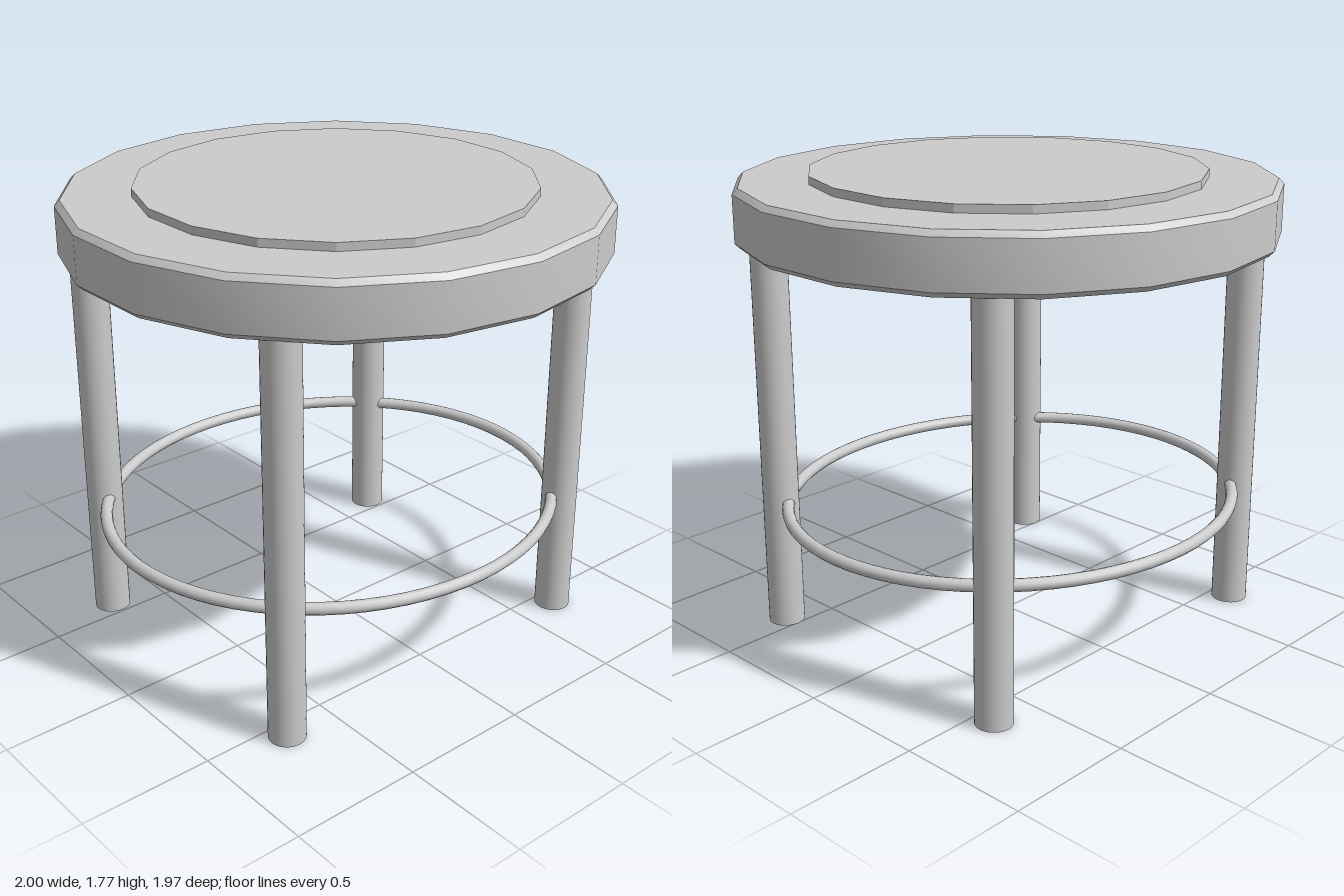
import * as THREE from 'three';
import { toCreasedNormals } from 'three/addons/utils/BufferGeometryUtils.js';

const SIDES = 18;

export function createModel() {
  const group = new THREE.Group();
  group.name = 'stool';
  const grey = new THREE.MeshStandardMaterial({ color: 0xcccccc });
  const flatGrey = new THREE.MeshStandardMaterial({ color: 0xcccccc, flatShading: true });

  const add = (name, geometry, material, x, y, z) => {
    const mesh = new THREE.Mesh(geometry, material);
    mesh.name = name;
    mesh.position.set(x, y, z);
    group.add(mesh);
    return mesh;
  };

  // Seat: 18-sided slab with a small bevel on both rims, a corner on the x axis
  const profile = [[0, 1.528], [0.98, 1.528], [1, 1.548], [1, 1.722], [0.98, 1.743], [0, 1.743]]
    .map(([r, y]) => new THREE.Vector2(r, y));
  const seat = new THREE.LatheGeometry(profile, SIDES).rotateY(Math.PI / 2);
  add('seat', toCreasedNormals(seat, 0.5), grey, 0, 0, 0);

  // Raised pad on top of the seat
  const pad = new THREE.CylinderGeometry(0.73, 0.73, 0.04, SIDES).rotateY(Math.PI / 2);
  add('seatPad', pad, flatGrey, 0, 1.753, 0);

  // Four straight round legs, set slightly off the seat's centre
  const cx = -0.006, cz = 0.014;
  const leg = new THREE.CylinderGeometry(0.069, 0.069, 1.53, 32);
  for (const [side, sx] of [['Left', 1], ['Right', -1]]) {
    for (const [end, sz] of [['front', 1], ['back', -1]]) {
      add(`${end}${side}Leg`, leg, grey, cx + sx * 0.571, 0.765, cz + sz * 0.687);
    }
  }

  // Oval foot ring running through the legs
  const ring = new THREE.TorusGeometry(0.86, 0.023, 12, 72).rotateX(Math.PI / 2);
  add('footRing', ring, grey, -0.011, 0.506, cz).scale.set(0.957, 1, 1.043);

  return group;
}
